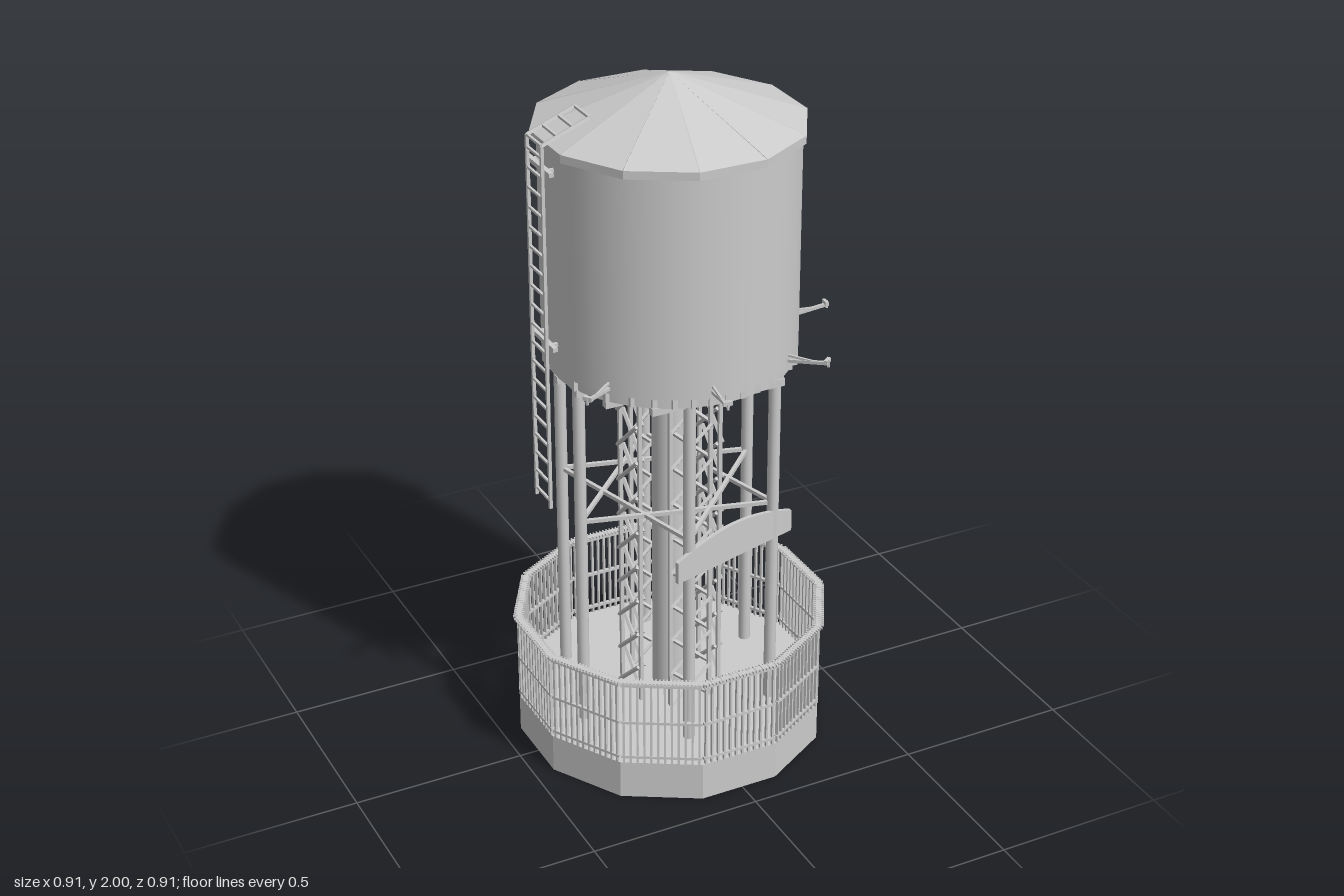
import * as THREE from 'three';

const CX = -0.01, CZ = -0.011; // tower axis
const rad = THREE.MathUtils.degToRad;

export function createModel() {
  const model = new THREE.Group();
  const tower = new THREE.Group();
  tower.name = 'waterTower';
  tower.position.set(CX, 0, CZ);
  model.add(tower);

  const smooth = new THREE.MeshStandardMaterial({ color: 0xcccccc });
  const flat = new THREE.MeshStandardMaterial({ color: 0xcccccc, flatShading: true });
  const open = new THREE.MeshStandardMaterial({ color: 0xcccccc, side: THREE.DoubleSide });
  const v = (x, y, z) => new THREE.Vector3(x, y, z);
  // point at an azimuth measured from +z towards +x
  const polar = (deg, r, y) => v(r * Math.sin(rad(deg)), y, r * Math.cos(rad(deg)));

  function add(name, geo, mat = flat, parent = tower) {
    const m = new THREE.Mesh(geo, mat);
    m.name = name;
    parent.add(m);
    return m;
  }
  function box(name, w, h, d, x, y, z, parent = tower) {
    const m = add(name, new THREE.BoxGeometry(w, h, d), flat, parent);
    m.position.set(x, y, z);
    return m;
  }
  // square bar between two points
  function bar(name, a, b, t, parent = tower) {
    const m = box(name, t, t, a.distanceTo(b), 0, 0, 0, parent);
    m.position.copy(a).add(b).multiplyScalar(0.5);
    m.quaternion.setFromUnitVectors(v(0, 0, 1), b.clone().sub(a).normalize());
  }
  function group(name, deg = 0, parent = tower) {
    const g = new THREE.Group();
    g.name = name;
    g.rotation.y = rad(deg);
    parent.add(g);
    return g;
  }
  // twelve-sided prism with flat sides facing the axes
  function prism(name, rTop, rBottom, y0, y1) {
    const geo = new THREE.CylinderGeometry(rTop, rBottom, y1 - y0, 12);
    geo.rotateY(rad(15));
    add(name, geo).position.y = (y0 + y1) / 2;
  }

  // base
  prism('base', 0.447, 0.447, 0, 0.115);

  // fence: twelve panels of thin upright bars, rails and a toothed cap
  const BARS = 12, TEETH = 22, SIDE = 0.23;
  for (let i = 0; i < 12; i++) {
    const panel = group('fencePanel', i * 30);
    for (const y of [0.135, 0.25, 0.372]) box('fenceRail', SIDE - 0.004, 0.008, 0.01, 0, y, 0.429, panel);
    for (let k = 0; k < BARS; k++) {
      box('fenceBar', 0.006, 0.27, 0.009, ((k + 0.5) / BARS - 0.5) * SIDE, 0.249, 0.429, panel);
    }
    box('fenceCap', SIDE, 0.005, 0.016, 0, 0.382, 0.429, panel);
    for (let k = 0; k < TEETH; k++) {
      box('capTooth', 0.004, 0.006, 0.03, ((k + 0.5) / TEETH - 0.5) * SIDE, 0.382, 0.429, panel);
    }
  }

  // six legs on a hexagon, with a star of horizontal ties
  const LEG_R = 0.314;
  const frame = group('legFrame');
  frame.position.set(-0.005, 0, -0.016);
  for (let i = 0; i < 6; i++) {
    const a = 45 + i * 60;
    const leg = add('leg', new THREE.CylinderGeometry(0.017, 0.017, 1.07, 12), smooth, frame);
    leg.position.copy(polar(a, LEG_R, 0.645));
    bar('tie', polar(a, LEG_R, 0.76), polar(a + 120, LEG_R, 0.76), 0.011, frame);
  }

  // arched board hung between two legs
  const shape = new THREE.Shape();
  shape.moveTo(-0.216, 0.65);
  shape.lineTo(0.216, 0.65);
  shape.lineTo(0.216, 0.715);
  shape.quadraticCurveTo(0.1, 0.757, 0, 0.757);
  shape.quadraticCurveTo(-0.1, 0.757, -0.216, 0.715);
  shape.closePath();
  const board = group('boardMount', 15.5, frame);
  add('archedBoard', new THREE.ExtrudeGeometry(shape, { depth: 0.012, bevelEnabled: false, curveSegments: 8 }), flat, board)
    .position.z = 0.276;

  // central pipe
  add('centralPipe', new THREE.CylinderGeometry(0.052, 0.052, 1.08, 24), smooth).position.y = 0.65;

  // four lattice trusses around the pipe
  for (let i = 0; i < 4; i++) {
    const truss = group('latticeTruss', i * 90);
    const w = 0.062, y0 = 0.115, h = 0.112, bays = 9;
    for (const s of [-1, 1]) {
      bar('trussPost', v(s * w, y0, 0.125), v(s * w, 1.13, 0.125), 0.011, truss);
      for (let k = 0; k < bays; k++) {
        const y = y0 + k * h;
        bar('trussBrace', v(-s * w, y, 0.125 + s * 0.009), v(s * w, y + h, 0.125 + s * 0.009), 0.009, truss);
      }
    }
  }

  // platform of crossing joists with a rim, under the tank
  for (let i = -7; i <= 7; i++) {
    const p = i * 0.047;
    const half = Math.sqrt(0.345 ** 2 - p * p);
    box('upperJoist', 0.018, 0.03, half * 2, p, 1.204, 0);
    if (i % 2 === 0) box('lowerBeam', half * 2, 0.022, 0.022, 0, 1.18, p);
  }
  add('platformRim', new THREE.CylinderGeometry(0.343, 0.343, 0.03, 48, 1, true), open).position.y = 1.204;

  // tank and roof
  add('tank', new THREE.CylinderGeometry(0.352, 0.352, 0.64, 64), smooth).position.y = 1.538;
  prism('eave', 0.373, 0.373, 1.845, 1.868);
  prism('roof', 0.002, 0.373, 1.868, 2.0);
  for (let i = 0; i < 12; i++) bar('roofRib', polar(15 + i * 30, 0.372, 1.867), v(0, 1.998, 0), 0.004);

  // short arms with small cross heads around the tank's foot
  for (const a of [84, 38, -8, -54]) {
    const arm = group('arm', a);
    bar('armBeam', v(0, 1.232, 0.34), v(0, 1.25, 0.468), 0.009, arm);
    bar('armStrut', v(0, 1.25, 0.34), v(0, 1.246, 0.42), 0.006, arm);
    box('armHead', 0.026, 0.012, 0.01, 0, 1.256, 0.464, arm);
    box('armPin', 0.006, 0.022, 0.006, 0, 1.25, 0.468, arm);
  }

  // ladder up the side, bending over the roof
  const ladder = group('ladder');
  ladder.position.set(-CX, 0, -CZ);
  const LZ = [-0.073, 0.019], foot = v(-0.392, 0.805, 0), bend = v(-0.392, 1.872, 0), end = v(-0.255, 1.926, 0);
  const at = (p, z) => v(p.x, p.y, z);
  for (const z of LZ) {
    bar('ladderRail', at(foot, z), at(bend, z), 0.009, ladder);
    bar('ladderRail', at(bend, z), at(end, z), 0.009, ladder);
  }
  const rung = p => bar('ladderRung', at(p, LZ[0]), at(p, LZ[1]), 0.007, ladder);
  for (let k = 0; k < 19; k++) rung(foot.clone().lerp(bend, (k + 0.4) / 19));
  for (const t of [0, 0.33, 0.66, 1]) rung(bend.clone().lerp(end, t));
  for (const y of [1.3, 1.8]) {
    box('ladderBracket', 0.014, 0.012, 0.15, -0.38, y, -0.025, ladder);
    for (const z of LZ) box('ladderStay', 0.04, 0.01, 0.01, -0.367, y, z, ladder);
  }

  return model;
}
